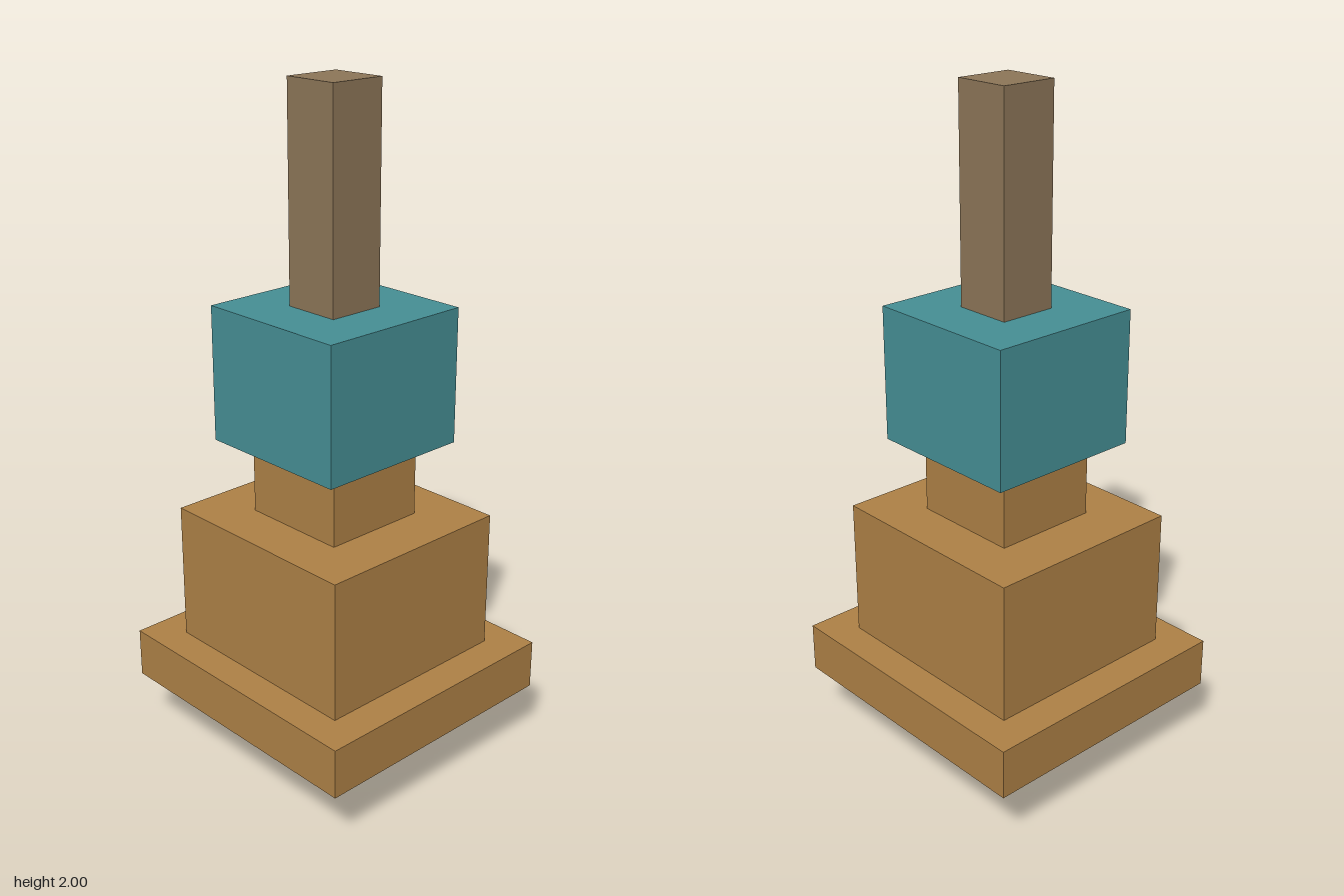
import * as THREE from 'three';

export function createModel() {
  const model = new THREE.Group();
  model.name = 'steppedTower';

  const material = (name, color) => {
    const m = new THREE.MeshStandardMaterial({ color });
    m.name = name;
    return m;
  };
  const wood = material('warm wood', 0xae8146);
  const teal = material('teal', 0x468f95);
  const taupe = material('taupe', 0x8d7658);

  // Stacked blocks from the ground up: name, width, depth, bottom, top, material
  const blocks = [
    ['foot', 0.27, 0.265, 0, 0.19, taupe],
    ['basePlate', 0.868, 0.816, 0.19, 0.34, wood],
    ['body', 0.658, 0.62, 0.34, 0.757, wood],
    ['neck', 0.335, 0.322, 0.757, 0.98, wood],
    ['collar', 0.482, 0.482, 0.98, 1.38, teal],
    ['post', 0.175, 0.175, 1.38, 2, taupe],
  ];
  for (const [name, width, depth, bottom, top, mat] of blocks) {
    const mesh = new THREE.Mesh(new THREE.BoxGeometry(width, top - bottom, depth), mat);
    mesh.name = name;
    mesh.position.y = (bottom + top) / 2;
    model.add(mesh);
  }
  return model;
}
